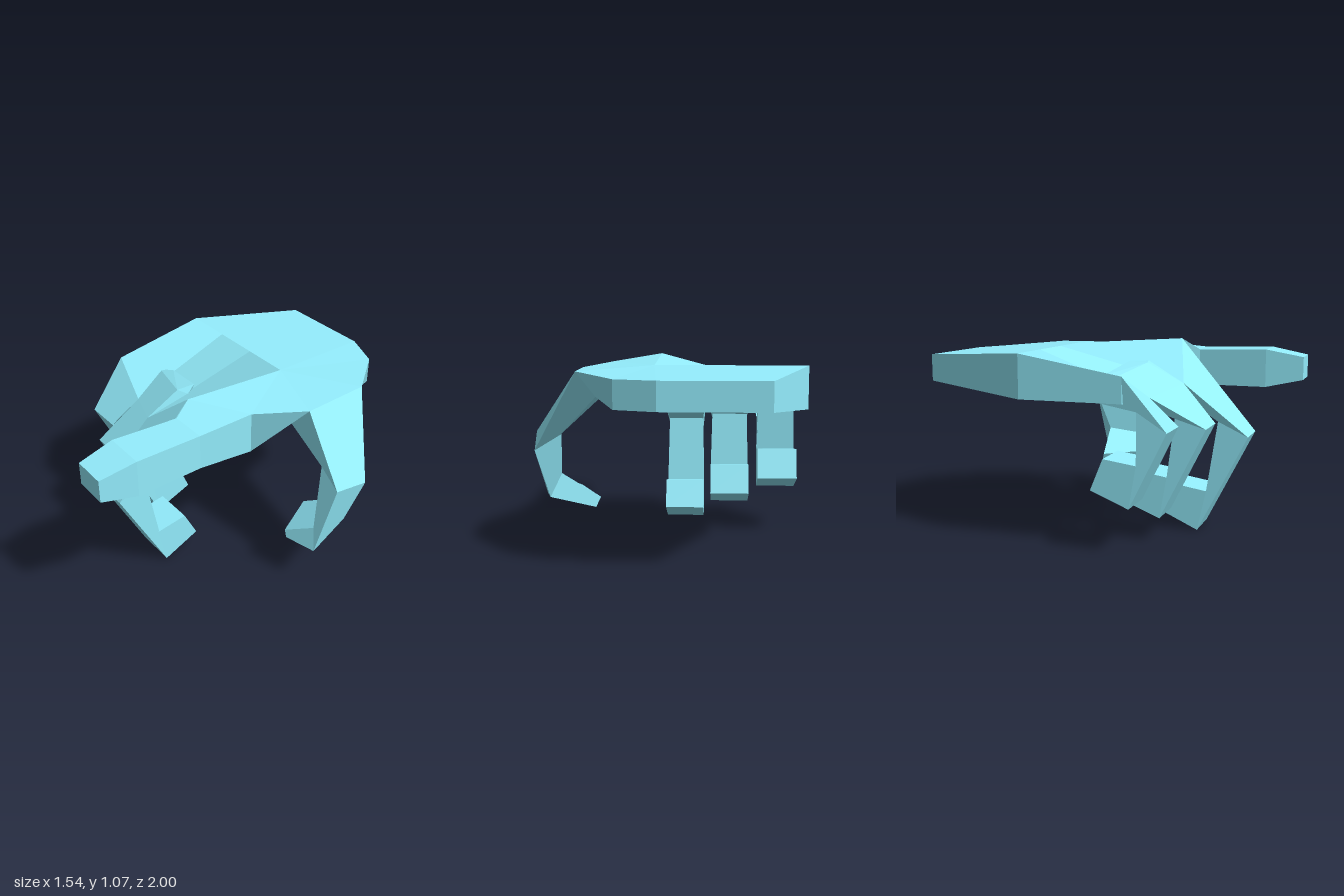
import * as THREE from 'three';
import { ConvexGeometry } from 'three/addons/geometries/ConvexGeometry.js';

const material = new THREE.MeshStandardMaterial({ color: 0x94eefe });

function addMesh(group, name, geometry) {
  const mesh = new THREE.Mesh(geometry, material);
  mesh.name = name;
  group.add(mesh);
}

// Faceted geometry from polygons (corners counter-clockwise), one averaged normal per polygon
function fromPolygons(polygons) {
  const positions = [], normals = [];
  for (const polygon of polygons) {
    const p = polygon.map((c) => new THREE.Vector3(...c));
    const normal = new THREE.Vector3();
    for (let i = 1; i < p.length - 1; i++) {
      normal.add(p[i].clone().sub(p[0]).cross(p[i + 1].clone().sub(p[0])));
    }
    normal.normalize();
    for (let i = 1; i < p.length - 1; i++) {
      for (const v of [p[0], p[i], p[i + 1]]) {
        positions.push(v.x, v.y, v.z);
        normals.push(normal.x, normal.y, normal.z);
      }
    }
  }
  const geometry = new THREE.BufferGeometry();
  geometry.setAttribute('position', new THREE.Float32BufferAttribute(positions, 3));
  geometry.setAttribute('normal', new THREE.Float32BufferAttribute(normals, 3));
  return geometry;
}

// Closed skin over a row of four-cornered sections
function loft(sections) {
  const faces = [[...sections[0]].reverse(), sections[sections.length - 1]];
  for (let s = 0; s < sections.length - 1; s++) {
    const a = sections[s], b = sections[s + 1];
    for (let i = 0; i < 4; i++) {
      const j = (i + 1) % 4;
      faces.push([a[i], a[j], b[j], b[i]]);
    }
  }
  return fromPolygons(faces);
}

// Palm: outline with upper and lower corners, a flat back and three sloping knuckle panels
function palmGeometry() {
  const top = [
    [-0.54, 0.99, -1], [0.02, 0.99, -1], [0.24, 0.99, -0.91], [0.47, 1.01, -0.62],
    [0.49, 1.01, -0.21], [0.35, 1.03, 0.08], [0.075, 1.07, 0.3], [-0.21, 0.84, 0.39],
    [-0.49, 0.79, 0.28], [-0.77, 0.93, 0.22], [-0.77, 1.03, -0.35],
  ];
  const lowY = [0.84, 0.84, 0.84, 0.88, 0.87, 0.79, 0.79, 0.79, 0.78, 0.79, 0.79];
  const bottom = top.map(([x, , z], i) => [x, lowY[i], z]);
  // The lower edge tucks in beneath the thumb
  bottom[3] = [0.36, 0.88, -0.65];
  bottom[4] = [0.36, 0.87, -0.2];
  const hub = [0.075, 1.03, -0.35];
  const a = [-0.49, 1.03, -0.35], b = [-0.21, 1.03, -0.35];
  const under = [0, 0.83, -0.3];
  const faces = [
    [top[10], top[9], top[8], a],
    [a, top[8], top[7], b],
    [b, top[7], top[6], hub],
  ];
  const n = top.length;
  for (let i = 0; i < n; i++) {
    const j = (i + 1) % n;
    faces.push([top[i], top[j], bottom[j], bottom[i]]);
    faces.push([under, bottom[i], bottom[j]]);
    if (i < 6 || i === 10) faces.push([hub, top[j], top[i]]);
  }
  return fromPolygons(faces);
}

// Curled finger: base corners, then [left, right, outer z, outer y, inner z, inner y] per joint
function curledFinger(base, joints) {
  return loft([base, ...joints.map(([l, r, oz, oy, iz, iy]) => [
    [l, oy, oz], [r, oy, oz], [r, iy, iz], [l, iy, iz],
  ])]);
}

export function createModel() {
  const hand = new THREE.Group();
  hand.name = 'hand';
  addMesh(hand, 'palm', palmGeometry());

  // Pointing index finger
  const box = (l, r, t, b, z) => [[l, t, z], [r, t, z], [r, b, z], [l, b, z]];
  addMesh(hand, 'indexFinger', loft([
    [[0.35, 1.03, 0.08], [0.075, 1.07, 0.3], [0.075, 0.79, 0.3], [0.35, 0.79, 0.08]],
    box(0.325, 0.11, 1.005, 0.8, 0.4),
    box(0.335, 0.095, 1.015, 0.8, 0.79),
    box(0.315, 0.12, 0.975, 0.845, 1),
  ]));

  // Three curled fingers
  addMesh(hand, 'middleFinger', curledFinger(
    [[0.075, 1.07, 0.3], [-0.21, 0.84, 0.39], [-0.2, 0.79, 0.34], [0.07, 0.79, 0.34]],
    [[0.042, -0.178, 0.75, 0.55, 0.58, 0.63],
     [0.05, -0.187, 0.47, 0, 0.52, 0.23],
     [0.05, -0.187, 0.25, 0.1, 0.33, 0.26]]));
  addMesh(hand, 'ringFinger', curledFinger(
    [[-0.21, 0.84, 0.39], [-0.49, 0.79, 0.28], [-0.49, 0.78, 0.15], [-0.21, 0.79, 0.2]],
    [[-0.24, -0.46, 0.58, 0.63, 0.41, 0.68],
     [-0.232, -0.468, 0.33, 0.13, 0.37, 0.36],
     [-0.232, -0.468, 0.11, 0.22, 0.18, 0.39]]));
  addMesh(hand, 'littleFinger', curledFinger(
    [[-0.49, 0.79, 0.28], [-0.77, 0.93, 0.22], [-0.77, 0.79, 0.1], [-0.49, 0.78, 0.12]],
    [[-0.525, -0.745, 0.45, 0.65, 0.29, 0.75],
     [-0.517, -0.752, 0.25, 0.245, 0.29, 0.475],
     [-0.517, -0.752, 0.04, 0.33, 0.11, 0.5]]));

  // Ring knuckle standing proud of the palm
  addMesh(hand, 'ringKnuckle', new ConvexGeometry([
    [-0.59, 0.87, 0.05], [-0.49, 0.9, 0.02], [-0.2, 0.955, 0.07], [-0.13, 0.955, 0.16],
    [-0.21, 0.95, 0.18], [-0.45, 0.9, 0.08], [-0.49, 0.79, 0.28], [-0.21, 0.84, 0.39],
    [-0.47, 0.8, 0.05], [-0.23, 0.8, 0.1],
  ].map((p) => new THREE.Vector3(...p))));

  // Thumb: sections run outer back, outer front, inner front, inner back
  addMesh(hand, 'thumb', loft([
    [[0.47, 1.01, -0.62], [0.49, 1.01, -0.21], [0.36, 0.87, -0.2], [0.36, 0.88, -0.65]],
    [[0.73, 0.565, -0.45], [0.77, 0.64, -0.19], [0.625, 0.725, -0.2], [0.59, 0.65, -0.43]],
    [[0.66, 0.29, -0.38], [0.735, 0.25, -0.08], [0.69, 0.375, -0.11], [0.6, 0.42, -0.34]],
    [[0.41, 0.225, -0.33], [0.55, 0.25, -0.035], [0.535, 0.295, -0.035], [0.385, 0.28, -0.31]],
  ]));

  return hand;
}
